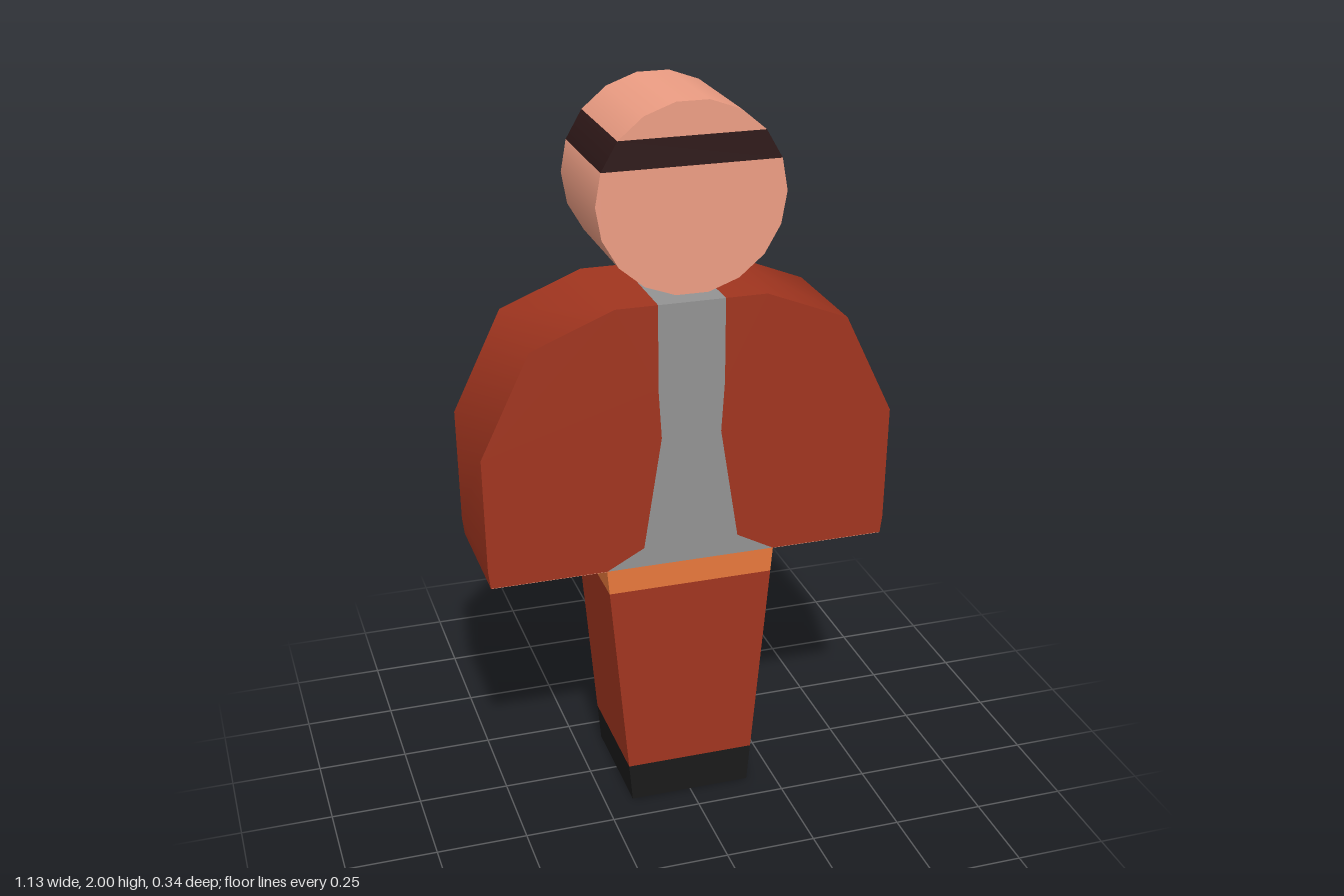
import * as THREE from 'three';
import { toCreasedNormals } from 'three/addons/utils/BufferGeometryUtils.js';

const HALF = 0.169; // half the depth of the flat figure
const COLORS = {
  skin: 0xee9e84, band: 0x2e1818, jacket: 0xa1351f,
  shirt: 0x939393, belt: 0xe8783c, boots: 0x1a1a1a,
};
const materials = {};
for (const key in COLORS) materials[key] = new THREE.MeshStandardMaterial({ color: COLORS[key] });

// Extrude an outline of [x, y] points from z0 to z1
function slab(points, z0 = -HALF, z1 = HALF) {
  const shape = new THREE.Shape(points.map(([x, y]) => new THREE.Vector2(x, y)));
  const geo = new THREE.ExtrudeGeometry(shape, { depth: z1 - z0, bevelEnabled: false });
  return geo.translate(0, 0, z0);
}

const flip = (points) => points.map(([x, y]) => [-x, y]);
const symmetric = (points) => [...points, ...flip(points).reverse()];

export function createModel() {
  const group = new THREE.Group();
  const add = (name, geo, material) => {
    const mesh = new THREE.Mesh(geo, materials[material]);
    mesh.name = name;
    group.add(mesh);
  };

  // Head: an 18-sided disc cut into crown, headband and face
  const R = 0.252, CY = 1.75;
  const arc = (from, to) => {
    const points = [];
    for (let a = from; a <= to; a += 20) {
      const t = THREE.MathUtils.degToRad(a);
      points.push([R * Math.cos(t), CY + R * Math.sin(t)]);
    }
    return points;
  };
  const headSlice = (name, points, material) => {
    const geo = slab(points);
    const p = geo.attributes.position, n = geo.attributes.normal;
    for (let i = 0; i < p.count; i++) { // round shading on the rim
      if (Math.abs(n.getZ(i)) < 0.5) n.setXYZ(i, p.getX(i) / R, (p.getY(i) - CY) / R, 0);
    }
    add(name, geo, material);
  };
  headSlice('crown', arc(40, 140), 'skin');
  headSlice('headband', [...arc(20, 40), ...arc(140, 160)], 'band');
  headSlice('face', arc(160, 380), 'skin');

  // Open jacket: two front halves around the shirt, closed by a back panel
  const opening = [[0.235, 0.74], [0.132, 0.795], [0.082, 1.11], [0.091, 1.25], [0.091, 1.48]];
  const outer = [[0.205, 1.48], [0.43, 1.39], [0.565, 1.11], [0.559, 0.79], [0.553, 0.74]];
  const half = [...opening, ...outer];
  add('jacketLeft', toCreasedNormals(slab(half), 0.87), 'jacket');
  add('jacketRight', toCreasedNormals(slab(flip(half)), 0.87), 'jacket');
  add('jacketBack', slab(symmetric(opening), -HALF, -HALF + 0.003), 'jacket');
  add('shirt', slab(symmetric(opening), -HALF + 0.003, HALF), 'shirt');

  // Hands, just visible at the sleeve ends
  for (const side of [1, -1]) {
    const hand = new THREE.BoxGeometry(0.316, 0.02, 2 * HALF - 0.004);
    hand.translate(side * 0.394, 0.748, 0);
    add(side > 0 ? 'leftHand' : 'rightHand', hand, 'skin');
  }

  // Tapered lower body in three bands
  const width = (y) => 0.171 + (0.236 - 0.171) * y / 0.74;
  const taper = (y0, y1) => slab(symmetric([[width(y0), y0], [width(y1), y1]]));
  add('belt', taper(0.67, 0.74), 'belt');
  add('trousers', taper(0.11, 0.67), 'jacket');
  add('boots', taper(0, 0.11), 'boots');

  return group;
}
